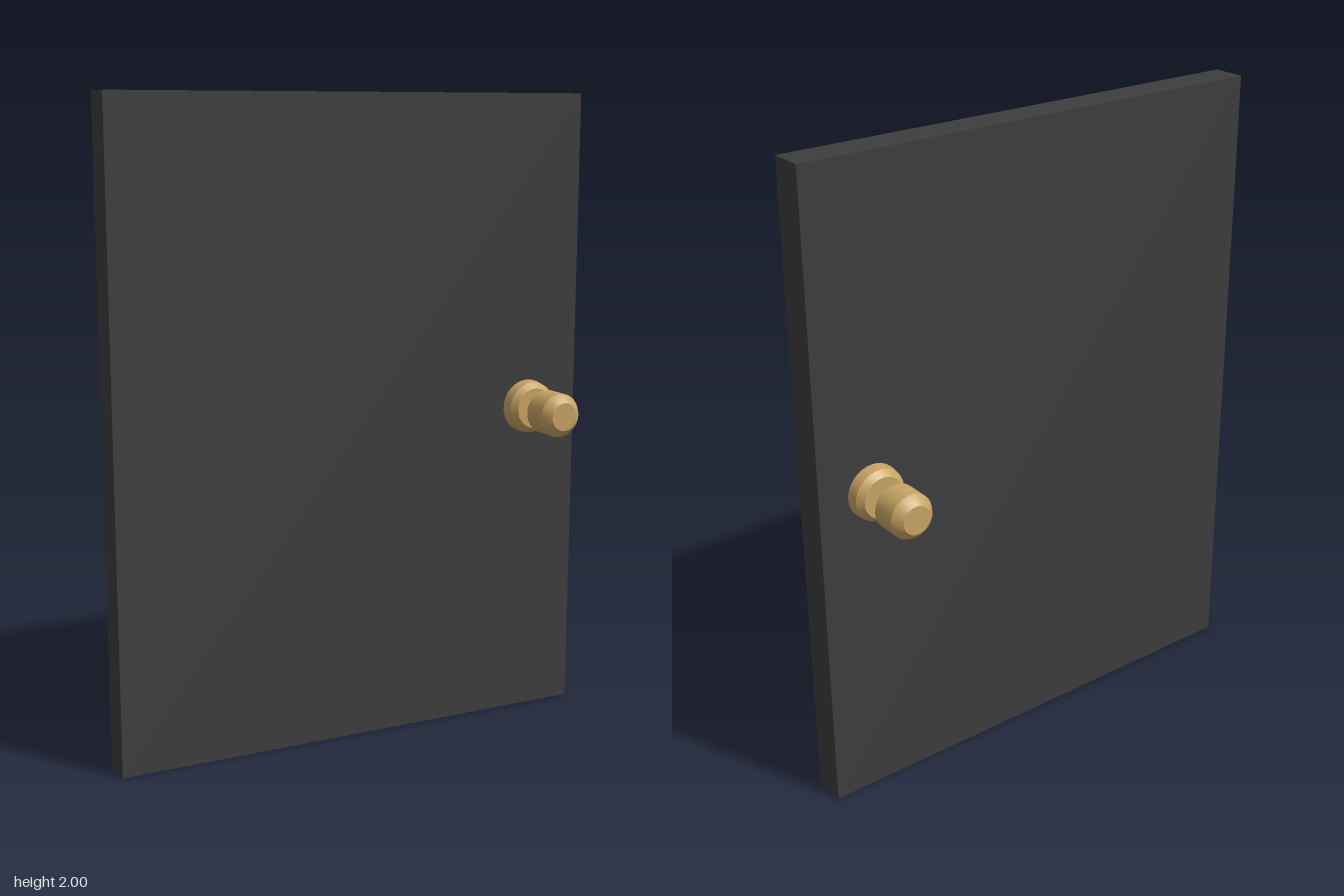
import * as THREE from 'three';
import { toCreasedNormals } from 'three/addons/utils/BufferGeometryUtils.js';

const charcoal = new THREE.MeshStandardMaterial({ color: 0x3d3d3d });
charcoal.name = 'charcoal';
const brass = new THREE.MeshStandardMaterial({ color: 0xc8a464 });
brass.name = 'brass';

// Turned part along +z from [radius, z] pairs
function turned(name, profile) {
  const points = profile.map(([r, z]) => new THREE.Vector2(r, z));
  const geometry = new THREE.LatheGeometry(points, 32).rotateX(Math.PI / 2);
  const mesh = new THREE.Mesh(toCreasedNormals(geometry, 0.5), brass);
  mesh.name = name;
  return mesh;
}

// Rose plate, flared neck and chamfered grip
function createHandle(name) {
  const handle = new THREE.Group();
  handle.name = name;
  handle.add(
    turned('rosePlate', [[0.085, 0.04], [0.085, 0.06], [0.081, 0.088], [0.064, 0.107], [0, 0.107]]),
    turned('neck', [[0.018, 0.1], [0.018, 0.112], [0.024, 0.128], [0.036, 0.145], [0.048, 0.152]]),
    turned('grip', [[0, 0.15], [0.045, 0.15], [0.069, 0.168], [0.069, 0.246],
      [0.06, 0.261], [0.044, 0.274], [0, 0.274]])
  );
  return handle;
}

export function createModel() {
  const model = new THREE.Group();
  model.name = 'door';

  // Flat slab
  const panel = new THREE.Mesh(new THREE.BoxGeometry(1.564, 2, 0.105), charcoal);
  panel.name = 'doorPanel';
  panel.position.y = 1;
  model.add(panel);

  // One handle on each face
  for (const [name, turn] of [['frontHandle', 0], ['backHandle', Math.PI]]) {
    const handle = createHandle(name);
    handle.position.set(0.602, 1.013, 0);
    handle.rotation.y = turn;
    model.add(handle);
  }
  return model;
}
